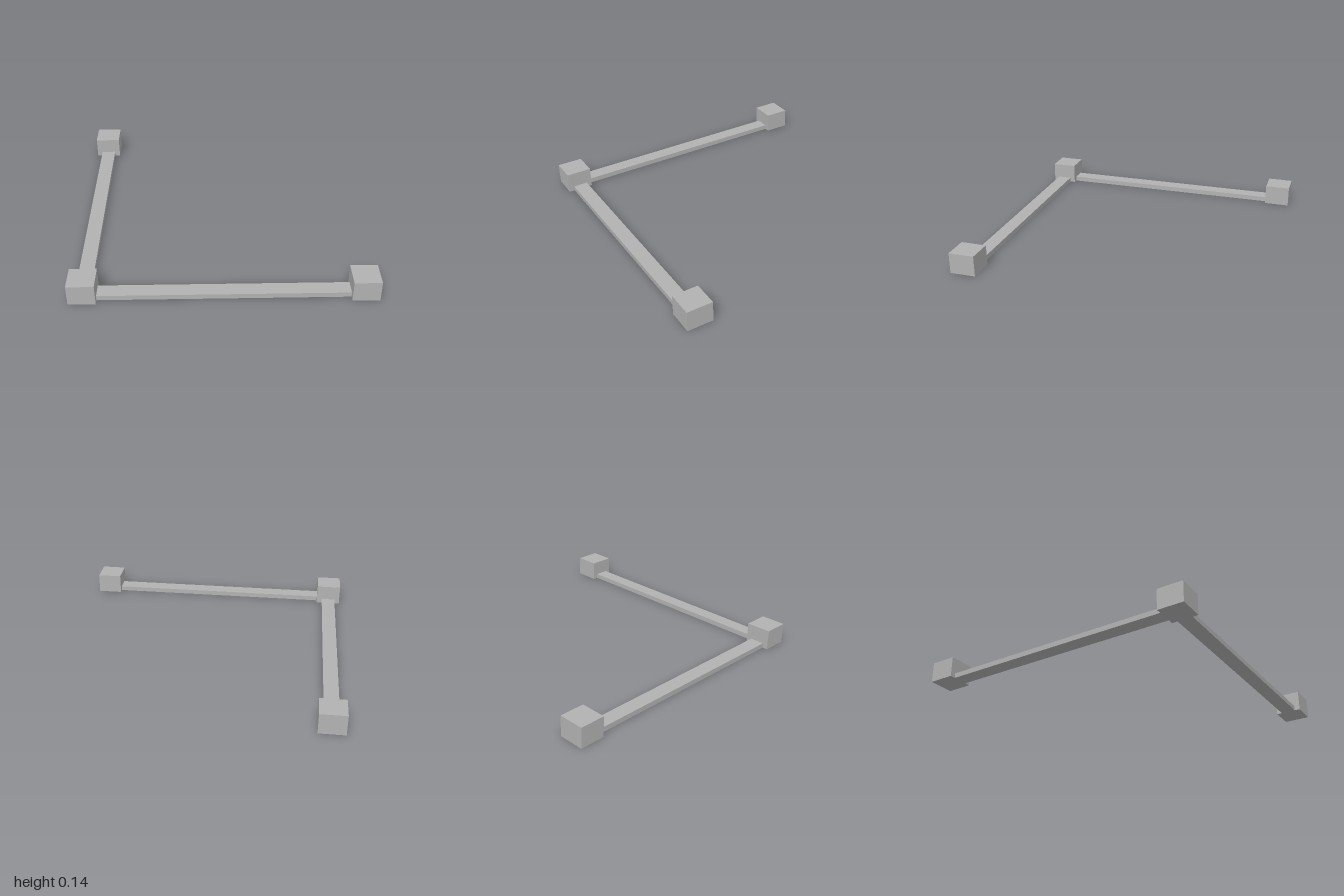
import * as THREE from 'three';

export function createModel() {
  const model = new THREE.Group();
  model.name = 'cornerFrame';

  const gray = new THREE.MeshStandardMaterial({ color: 0xb2b2b2 });
  gray.name = 'gray';

  const block = 0.18, blockHeight = 0.145;
  const barWidth = 0.103, barHeight = 0.035;
  const c = 1 - block / 2;            // block centre offset
  const barLength = 2 * c - block;    // clear span between blocks

  // Box standing on the ground
  function addBox(name, w, h, d, x, z) {
    const mesh = new THREE.Mesh(new THREE.BoxGeometry(w, h, d), gray);
    mesh.name = name;
    mesh.position.set(x, h / 2, z);
    model.add(mesh);
  }

  // End and corner blocks
  for (const [name, x, z] of [
    ['cornerBlock', -c, c],
    ['leftBlock', c, c],
    ['backBlock', -c, -c],
  ]) addBox(name, block, blockHeight, block, x, z);

  // Flat bars joining the blocks
  addBox('frontBar', barLength, barHeight, barWidth, 0, c);
  addBox('sideBar', barWidth, barHeight, barLength, -c, 0);

  return model;
}
